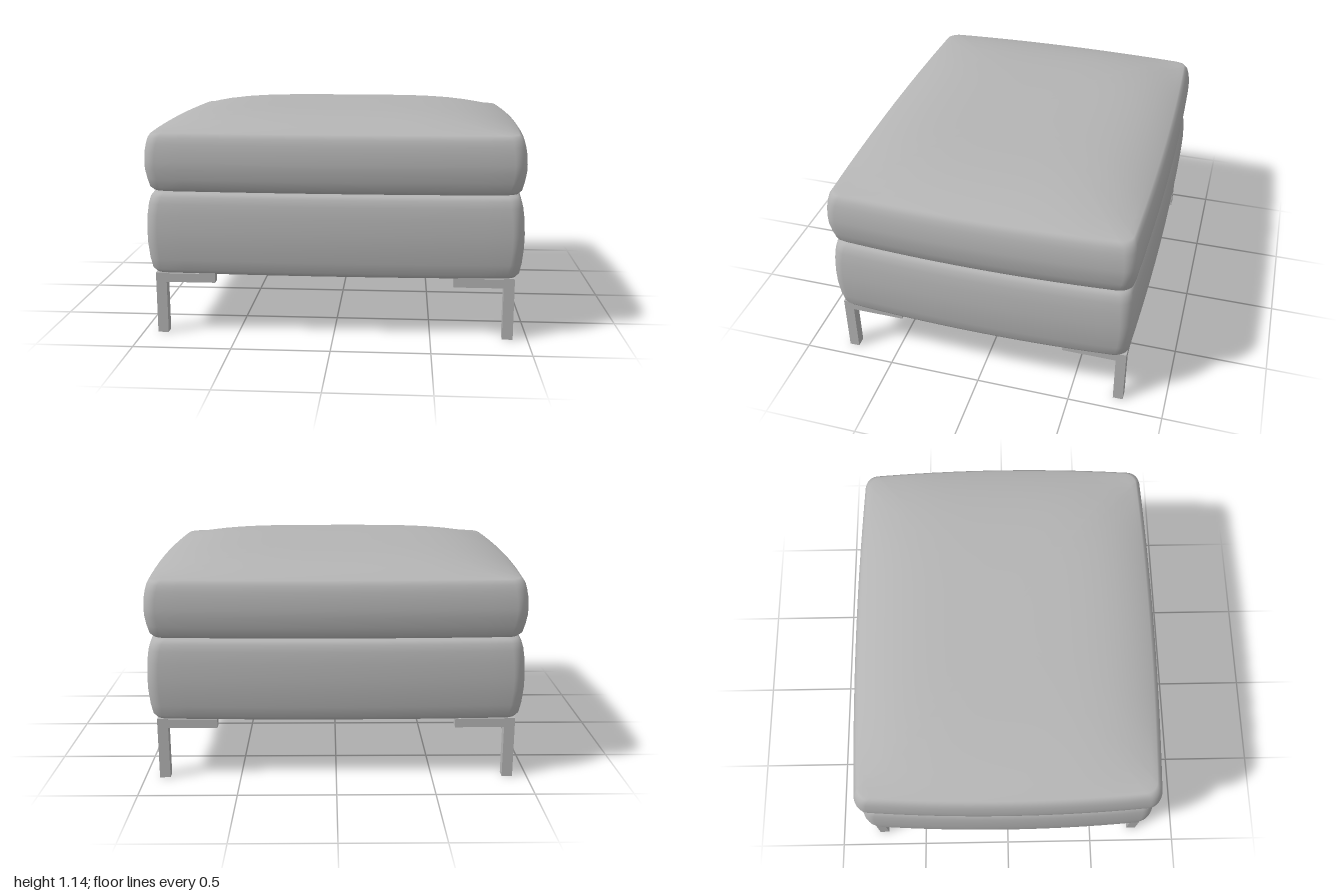
import * as THREE from 'three';

const A = 0.965, B = 0.8, R = 0.06; // half width, half depth and corner radius at the corners

// Rounded rectangle, running from +x towards +z
function outline() {
  const pts = [], corner = 8, side = 14;
  const centres = [[1, 1], [-1, 1], [-1, -1], [1, -1]];
  centres.forEach(([sx, sz], q) => {
    const cx = sx * (A - R), cz = sz * (B - R);
    for (let i = 0; i <= corner; i++) {
      const t = (q + i / corner) * Math.PI / 2;
      pts.push([cx + R * Math.cos(t), cz + R * Math.sin(t)]);
    }
    // straight run to the next corner
    const [x0, z0] = pts[pts.length - 1];
    const [nx, nz] = centres[(q + 1) % 4];
    const t = (q + 1) * Math.PI / 2;
    const x1 = nx * (A - R) + R * Math.cos(t), z1 = nz * (B - R) + R * Math.sin(t);
    for (let i = 1; i < side; i++) {
      pts.push([x0 + (x1 - x0) * i / side, z0 + (z1 - z0) * i / side]);
    }
  });
  return pts;
}

// Padded block: side profile of [inset, y], with domed top and bottom faces
function paddedBlock(profile, bottomDome, topDome) {
  const pts = outline(), n = pts.length;
  const caps = [0, 0.2, 0.4, 0.55, 0.68, 0.78, 0.86, 0.92, 0.965];
  const first = profile[0], last = profile[profile.length - 1];
  const rings = [
    ...caps.map(s => [s, first[0], first[1], bottomDome]),
    ...profile.map(([inset, y]) => [1, inset, y, 0]),
    ...caps.slice().reverse().map(s => [s, last[0], last[1], topDome]),
  ];
  const position = [], index = [];
  for (const [s, inset, y, dome] of rings) {
    for (const [px, pz] of pts) {
      const u = px / A, v = pz / B;
      // sides bow outwards in plan
      const x = px * (1 + 0.035 * (1 - v * v)) * (1 - inset / A);
      const z = pz * (1 + 0.03 * (1 - u * u)) * (1 - inset / B);
      const rise = (1 - Math.abs(s * u) ** 4.5) * (1 - Math.abs(s * v) ** 4.5);
      position.push(x * s, y + dome * rise, z * s);
    }
  }
  for (let j = 0; j < rings.length - 1; j++) {
    for (let i = 0; i < n; i++) {
      const a = j * n + i, b = j * n + (i + 1) % n;
      index.push(a, a + n, b, b, a + n, b + n);
    }
  }
  const g = new THREE.BufferGeometry();
  g.setAttribute('position', new THREE.Float32BufferAttribute(position, 3));
  g.setIndex(index);
  g.computeVertexNormals();
  return g;
}

export function createModel() {
  const model = new THREE.Group();
  model.name = 'ottoman';
  const grey = new THREE.MeshStandardMaterial({ color: 0xb4b4b4 });
  grey.name = 'grey';

  const add = (parent, name, geometry) => {
    const mesh = new THREE.Mesh(geometry, grey);
    mesh.name = name;
    parent.add(mesh);
    return mesh;
  };

  // Upholstered base
  add(model, 'base', paddedBlock([
    [0.05, 0.318], [0.032, 0.325], [0.018, 0.345], [0.008, 0.4], [0.001, 0.48], [0, 0.55],
    [0.004, 0.63], [0.012, 0.69], [0.022, 0.725], [0.036, 0.743], [0.06, 0.75],
  ], -0.028, 0));

  // Seat cushion with a domed top
  add(model, 'seatCushion', paddedBlock([
    [0.06, 0.75], [0.036, 0.757], [0.02, 0.775], [0.009, 0.82], [0.001, 0.87], [0, 0.91],
    [0.003, 0.96], [0.01, 1.0], [0.018, 1.03], [0.03, 1.048], [0.04, 1.054],
  ], 0, 0.086));

  // Corner legs, each a post with two bracket arms
  const box = (x0, x1, y0, y1, z0, z1) =>
    new THREE.BoxGeometry(x1 - x0, y1 - y0, z1 - z0)
      .translate((x0 + x1) / 2, (y0 + y1) / 2, (z0 + z1) / 2);
  for (const sx of [1, -1]) {
    for (const sz of [1, -1]) {
      const leg = new THREE.Group();
      leg.name = (sz > 0 ? 'front' : 'back') + (sx > 0 ? 'Left' : 'Right') + 'Leg';
      const span = (s, a, b) => (s > 0 ? [a, b] : [-b, -a]);
      const postX = span(sx, 0.87, 0.925), postZ = span(sz, 0.727, 0.78);
      add(leg, 'post', box(...postX, 0, 0.325, ...postZ));
      add(leg, 'widthArm', box(...span(sx, 0.615, 0.87), 0.275, 0.322, ...postZ));
      add(leg, 'depthArm', box(...postX, 0.275, 0.322, ...span(sz, 0.445, 0.727)));
      model.add(leg);
    }
  }
  return model;
}
